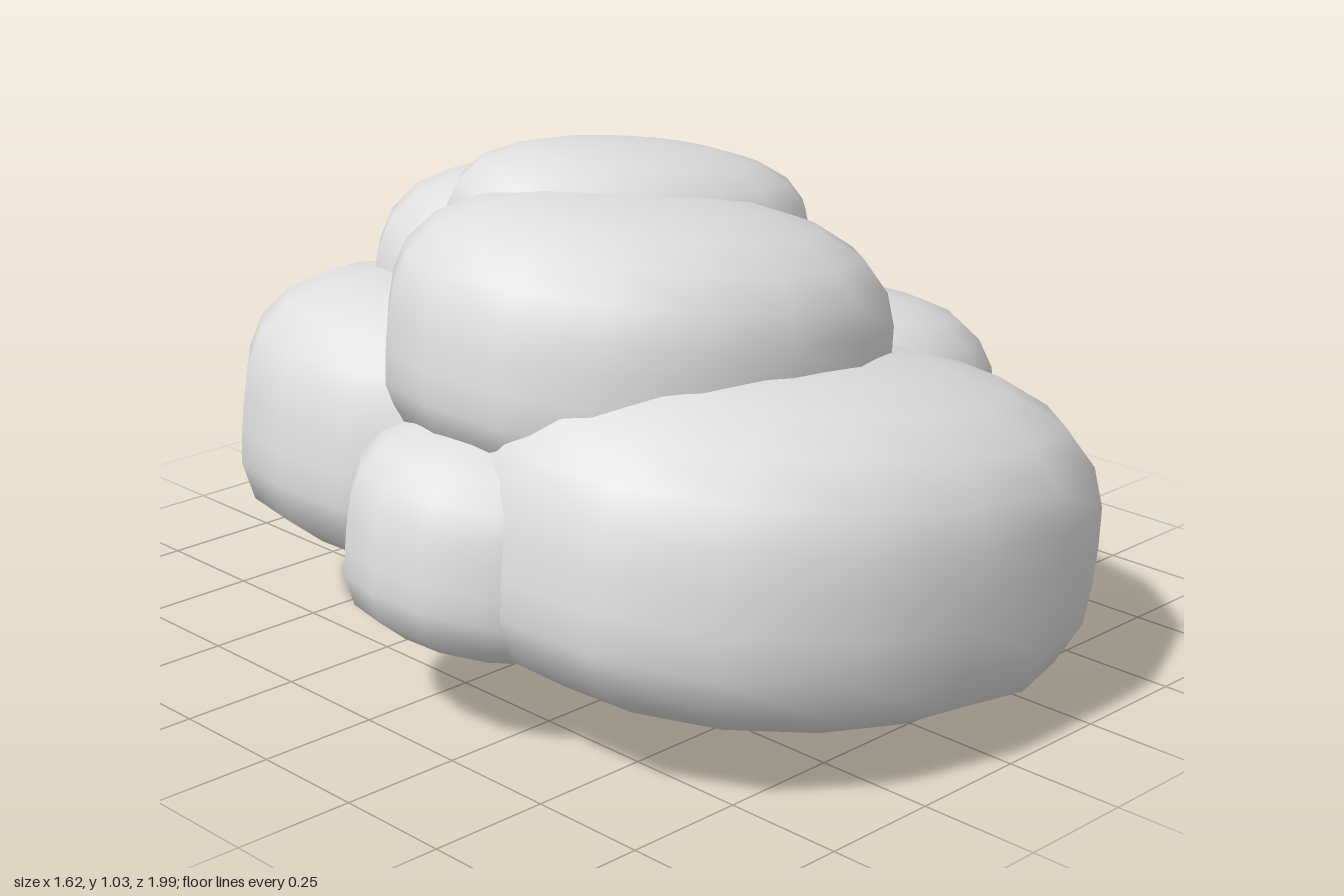
import * as THREE from 'three';
import { mergeVertices } from 'three/addons/utils/BufferGeometryUtils.js';

const TILT = -0.15;
const YAW = -0.1;

// Sphere pushed out into a cushion: nearly round from above, squarish from
// the side, with a flatter underside than top.
function cushionGeometry() {
  let geo = new THREE.SphereGeometry(1, 16, 14);
  geo.deleteAttribute('uv');
  geo.deleteAttribute('normal');
  geo = mergeVertices(geo, 1e-4);
  const pos = geo.attributes.position;
  const v = new THREE.Vector3();
  const plan = 2.25;
  for (let i = 0; i < pos.count; i++) {
    v.fromBufferAttribute(pos, i);
    const n = v.y > 0 ? 2.8 : 4.2;
    const ring = Math.pow(Math.abs(v.x), plan) + Math.pow(Math.abs(v.z), plan);
    const reach = Math.pow(ring, n / plan) + Math.pow(Math.abs(v.y), n);
    v.multiplyScalar(Math.pow(reach, -1 / n));
    pos.setXYZ(i, v.x, v.y, v.z);
  }
  return geo;
}

export function createModel() {
  const group = new THREE.Group();
  group.name = 'puffyCluster';
  const paleGrey = new THREE.MeshStandardMaterial({ color: 0xe0e0e0 });
  paleGrey.name = 'paleGrey';
  const base = cushionGeometry();

  // name, centre, radii
  const puffs = [
    ['frontPuff', [-0.055, 0.38, 0.44], [0.665, 0.33, 0.56]],
    ['backPuff', [0.255, 0.355, -0.475], [0.55, 0.315, 0.525]],
    ['backLowerPuff', [-0.2, 0.455, -0.3], [0.485, 0.29, 0.47]],
    ['upperFrontPuff', [-0.145, 0.71, 0.14], [0.51, 0.27, 0.46]],
    ['upperBackPuff', [0.105, 0.655, -0.25], [0.495, 0.275, 0.42]],
    ['topPuff', [0.04, 0.83, -0.08], [0.41, 0.19, 0.305]],
    ['leftFrontPuff', [0.365, 0.45, 0.23], [0.32, 0.25, 0.295]],
    ['leftBackPuff', [0.49, 0.29, -0.135], [0.285, 0.23, 0.295]],
    ['rightPuff', [-0.46, 0.375, 0.14], [0.35, 0.22, 0.32]],
  ];

  for (const [name, centre, radii] of puffs) {
    const geo = base.clone();
    geo.scale(...radii);
    geo.rotateY(YAW);
    geo.rotateZ(TILT);
    geo.computeVertexNormals();
    const mesh = new THREE.Mesh(geo, paleGrey);
    mesh.name = name;
    mesh.position.set(...centre);
    group.add(mesh);
  }
  return group;
}
